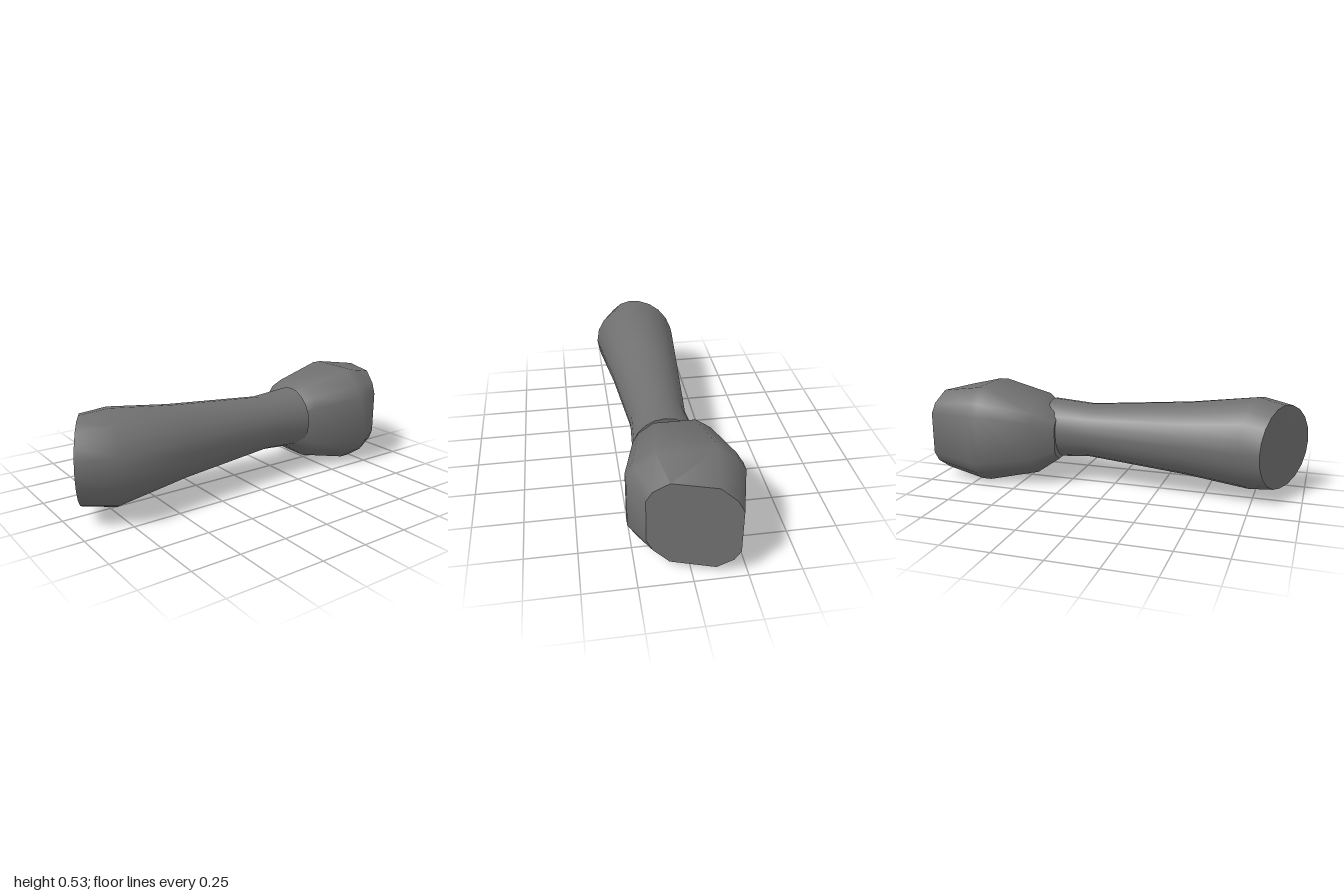
import * as THREE from 'three';
import { toCreasedNormals } from 'three/addons/utils/BufferGeometryUtils.js';

const material = new THREE.MeshStandardMaterial({ color: 0x707070 });

// Closed skin over equal-length rings of [x, y, z] points running along +x
function loft(name, rings, crease) {
  const n = rings[0].length;
  const points = rings.flat();
  const index = [];
  for (let i = 0; i < rings.length - 1; i++) {
    for (let j = 0; j < n; j++) {
      const a = i * n + j, b = i * n + (j + 1) % n;
      index.push(a, a + n, b, b, a + n, b + n);
    }
  }
  // Fan caps around the centre of the first and last ring
  [0, rings.length - 1].forEach((r, end) => {
    const centre = [0, 1, 2].map(k => rings[r].reduce((s, p) => s + p[k], 0) / n);
    const c = points.push(centre) - 1;
    for (let j = 0; j < n; j++) {
      const a = r * n + j, b = r * n + (j + 1) % n;
      if (end) index.push(c, b, a);
      else index.push(c, a, b);
    }
  });
  const geometry = new THREE.BufferGeometry();
  geometry.setAttribute('position', new THREE.Float32BufferAttribute(points.flat(), 3));
  geometry.setIndex(index);
  const mesh = new THREE.Mesh(toCreasedNormals(geometry, crease), material);
  mesh.name = name;
  return mesh;
}

// Round section: centre x and z, radius, lean of the front point along x, fold of the disc
function roundRing([x, z, r, lean = 0, fold = 0]) {
  const depth = Math.sqrt(r * r - lean * lean);
  return Array.from({ length: 20 }, (_, i) => {
    const t = i / 20 * Math.PI * 2;
    const c = Math.cos(t);
    return [x + lean * c + fold * (1 - Math.abs(c)), 0.286 + r * Math.sin(t), z + depth * c];
  });
}

// Square section with two-step chamfered corners, sheared in x for the slanted end
const corner = [[0.272, 0.13], [0.235, 0.192], [0.136, 0.26]];
const flip = (pts, sz, sy) => pts.map(([z, y]) => [z * sz, y * sy]);
const section = [
  ...corner,
  ...flip(corner, -1, 1).reverse(),
  ...flip(corner, -1, -1),
  ...flip(corner, 1, -1).reverse(),
];
const squareRing = ([x, sz, sy = sz, shear = 0]) =>
  section.map(([z, y]) => [x + shear * z * sz, 0.26 + y * sy, -0.007 + z * sz]);

export function createModel() {
  const group = new THREE.Group();
  group.name = 'handleWithHead';

  // Tapered handle with a slanted butt and a slight flare at the neck
  const handle = [
    [-0.895, 0, 0.219, -0.105, 0.012],
    [-0.748, 0.046, 0.241, -0.065],
    [-0.4, 0.032, 0.194],
    [0.14, 0.032, 0.147],
    [0.365, 0.032, 0.163],
  ].map(roundRing);
  group.add(loft('handle', handle, 0.65));

  // Chamfered head, ending in a slanted face
  const head = [
    [0.3, 0.48],
    [0.41, 0.75, 0.77],
    [0.685, 1],
    [0.737, 1],
    [0.931, 0.741, 0.865, -0.32],
  ].map(squareRing);
  group.add(loft('head', head, 0.72));

  return group;
}
